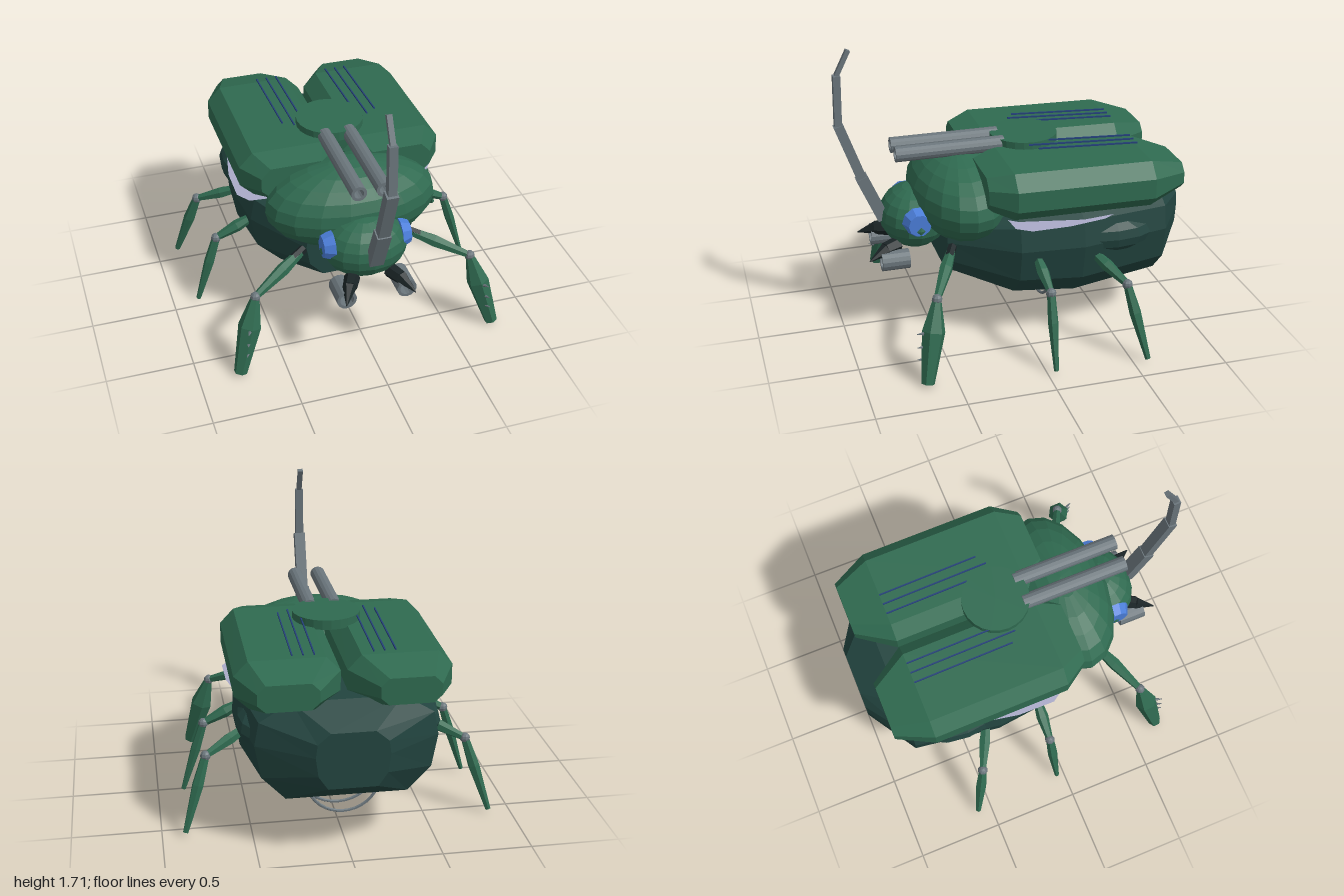
import * as THREE from 'three';

const mat = (name, color) => {
  const m = new THREE.MeshStandardMaterial({ color });
  m.name = name;
  return m;
};

// facet every face so the shape reads as low-poly
const facet = (geo) => {
  const g = geo.index ? geo.toNonIndexed() : geo;
  g.computeVertexNormals();
  return g;
};

// closed loft through rings {z, x, w, y0, y1}; profile is counter-clockwise in -1..1
function loft(profile, rings) {
  const pos = [], idx = [], n = profile.length;
  for (const r of rings) {
    for (const [u, v] of profile) {
      pos.push((r.x || 0) + u * r.w, (r.y0 + r.y1) / 2 + v * (r.y1 - r.y0) / 2, r.z);
    }
  }
  for (let k = 0; k < rings.length - 1; k++) {
    for (let i = 0; i < n; i++) {
      const a = k * n + i, b = k * n + (i + 1) % n;
      idx.push(a, a + n, b, b, a + n, b + n);
    }
  }
  const last = (rings.length - 1) * n;
  for (let i = 1; i < n - 1; i++) idx.push(0, i, i + 1, last, last + i + 1, last + i);
  const g = new THREE.BufferGeometry();
  g.setAttribute('position', new THREE.Float32BufferAttribute(pos, 3));
  g.setIndex(idx);
  return facet(g);
}

export function createModel() {
  const root = new THREE.Group();
  const green = mat('shell green', 0x2f6a50);
  const dark = mat('body dark green', 0x22443f);
  const grey = mat('metal grey', 0x6a757b);
  const blue = mat('eye blue', 0x4a7dd8);
  const stripe = mat('stripe navy', 0x24407a);
  const black = mat('mandible black', 0x1a2426);
  const lilac = mat('wing lilac', 0xaaaac8);
  lilac.side = THREE.DoubleSide;

  const add = (name, geo, material, x = 0, y = 0, z = 0, parent = root) => {
    const m = new THREE.Mesh(geo, material);
    m.name = name;
    m.position.set(x, y, z);
    parent.add(m);
    return m;
  };
  const ball = (name, material, c, r, ws = 16, hs = 10) =>
    add(name, facet(new THREE.SphereGeometry(1, ws, hs).scale(...r)), material, ...c);
  // stretches a y-aligned geometry of unit length from a to b
  const span = (name, geo, material, a, b, parent = root) => {
    const p = new THREE.Vector3(...a), d = new THREE.Vector3(...b).sub(p);
    const m = add(name, geo, material, ...p.clone().addScaledVector(d, 0.5), parent);
    m.scale.y = d.length();
    m.quaternion.setFromUnitVectors(new THREE.Vector3(0, 1, 0), d.normalize());
    return m;
  };
  const taper = (rTop, rBottom, n = 6) => facet(new THREE.CylinderGeometry(rTop, rBottom, 1, n));
  // limb with a thick middle, running from 0 (bottom) to 1 (top)
  const limb = (r0, rMid, r1, at) => facet(new THREE.LatheGeometry(
    [[0, -0.5], [r0, -0.5], [rMid, at - 0.5], [r1, 0.5], [0, 0.5]].map(p => new THREE.Vector2(...p)), 6));
  // open tube along z with a visible bore
  const pipe = (r, inner, len) => {
    const h = len / 2;
    return facet(new THREE.LatheGeometry(
      [[inner, -h], [r, -h], [r, h], [inner, h], [inner, -h]].map(p => new THREE.Vector2(...p)), 14)
      .rotateX(Math.PI / 2));
  };

  // abdomen
  const hull = [[0.67, -1], [0.93, -0.52], [1, 0.15], [0.95, 0.62], [0.6, 1],
    [-0.6, 1], [-0.95, 0.62], [-1, 0.15], [-0.93, -0.52], [-0.67, -1]];
  add('abdomen', loft(hull, [
    { z: 0.43, w: 0.3, y0: 0.41, y1: 0.76 },
    { z: 0.06, w: 0.53, y0: 0.28, y1: 0.85 },
    { z: -0.3, w: 0.57, y0: 0.255, y1: 0.88 },
    { z: -0.81, w: 0.5, y0: 0.305, y1: 0.87 },
    { z: -1, w: 0.2, y0: 0.44, y1: 0.76 }]), dark);

  // thorax and head
  ball('thorax', green, [0, 0.81, 0.3], [0.5, 0.255, 0.285], 18, 12);
  ball('head', green, [0, 0.68, 0.56], [0.245, 0.18, 0.2], 16, 10);

  // jointed horn
  const horn = [[0.74, 0.68], [0.855, 0.945], [0.97, 1.27], [0.965, 1.56], [0.895, 1.7]];
  [0.08, 0.066, 0.048, 0.03].forEach((t, i) => span('hornSegment', new THREE.BoxGeometry(t, 1, t * 0.85), grey,
    [0, horn[i][1], horn[i][0]], [0, horn[i + 1][1], horn[i + 1][0]]));

  // turret
  add('turret', facet(new THREE.CylinderGeometry(0.195, 0.195, 0.055, 24)), green, 0, 1.096, -0.1);

  const shellProfile = [[1, -0.45], [1, 0.4], [0.73, 1], [-0.73, 1], [-1, 0.4], [-1, -0.45], [-0.73, -1], [0.73, -1]];
  for (const s of [1, -1]) {
    // wing case
    add('wingCase', loft(shellProfile, [
      { z: 0.24, x: s * 0.3, w: 0.2, y0: 0.86, y1: 1.05 },
      { z: 0.1, x: s * 0.305, w: 0.287, y0: 0.81, y1: 1.085 },
      { z: -0.7, x: s * 0.305, w: 0.287, y0: 0.8, y1: 1.07 },
      { z: -0.91, x: s * 0.325, w: 0.165, y0: 0.86, y1: 1.01 }]), green);

    // stripes above the wing case
    [[0.16, -0.2], [0.22, -0.07], [0.28, -0.11]].forEach(([x, z0]) =>
      span('stripe', new THREE.BoxGeometry(0.007, 1, 0.009), stripe, [s * x, 1.12 + (z0 + 0.1) * 0.05, z0], [s * x, 1.09, -0.7]));

    // folded hind wing
    const w = new THREE.Shape([[0.3, 0.12], [0.54, 0.1], [0.595, 0.02], [0.592, -0.2], [0.55, -0.42],
      [0.42, -0.62], [0.3, -0.5]].map(([x, z]) => new THREE.Vector2(s * x, -z)));
    add('hindWing', new THREE.ShapeGeometry(w).rotateX(-Math.PI / 2), lilac, 0, 0.768, 0);

    // flank bulge
    ball('flankBulge', dark, [s * 0.48, 0.63, -0.5], [0.09, 0.1, 0.23], 10, 6);

    // cannon barrel and jaw tube
    add('barrel', pipe(0.045, 0.028, 0.63), grey, s * 0.072, 1.09, 0.355);
    add('jawTube', pipe(0.057, 0.04, 0.16), grey, s * 0.175, 0.485, 0.71);

    // eye with centre stud
    add('eye', facet(new THREE.CylinderGeometry(0.065, 0.092, 0.06, 10).rotateZ(-s * Math.PI / 2)),
      blue, s * 0.224, 0.715, 0.575);
    add('pupil', facet(new THREE.OctahedronGeometry(0.032).scale(0.3, 1, 1)), green, s * 0.252, 0.68, 0.57);

    // two-part mandible
    span('mandibleBase', taper(0.04, 0.045), black, [s * 0.11, 0.55, 0.68], [s * 0.15, 0.545, 0.76]);
    span('mandibleTip', taper(0.003, 0.04), black, [s * 0.15, 0.545, 0.755], [s * 0.2, 0.505, 0.86]);

    // legs: hip, knee, foot, then radii of femur and shin
    const legs = [
      ['frontLeg', [0.3, 0.595, 0.4], [0.64, 0.455, 0.575], [0.765, 0.01, 0.665], 0.038, 0.066, 0.038],
      ['middleLeg', [0.48, 0.56, -0.04], [0.72, 0.44, -0.05], [0.85, 0.02, -0.045], 0.036, 0.03, 0.014],
      ['hindLeg', [0.48, 0.55, -0.36], [0.74, 0.44, -0.49], [0.87, 0.02, -0.58], 0.036, 0.034, 0.016]];
    for (const [name, a, b, c, rf, rs, rt] of legs) {
      const g = new THREE.Group();
      g.name = name;
      root.add(g);
      const [hip, knee, foot] = [a, b, c].map(([x, y, z]) => [s * x, y, z]);
      span('femur', limb(0.022, rf, 0.02, 0.45), green, hip, knee, g);
      span('shin', limb(rt, rs, 0.024, 0.62), green, foot, knee, g);
      add('knee', facet(new THREE.SphereGeometry(0.03, 8, 6)), grey, ...knee, g);
      if (name === 'frontLeg') {
        span('shoulder', taper(0.026, 0.026), black, hip, [s * 0.38, 0.567, 0.44], g);
        // shin spines
        [0.29, 0.21, 0.14].forEach(y => span('spine', taper(0.002, 0.01, 5), grey,
          [s * (0.73 - y * 0.1), y, 0.67], [s * (0.745 - y * 0.1), y + 0.01, 0.715 - y * 0.03], g));
      }
    }
  }

  // belly hoops
  [0.275, 0.255, 0.235, 0.205].forEach((r, i) => add('bellyHoop',
    facet(new THREE.TorusGeometry(r, 0.009, 6, 18, Math.PI).rotateZ(Math.PI)), grey, 0, 0.352, -0.19 - i * 0.17));

  return root;
}
